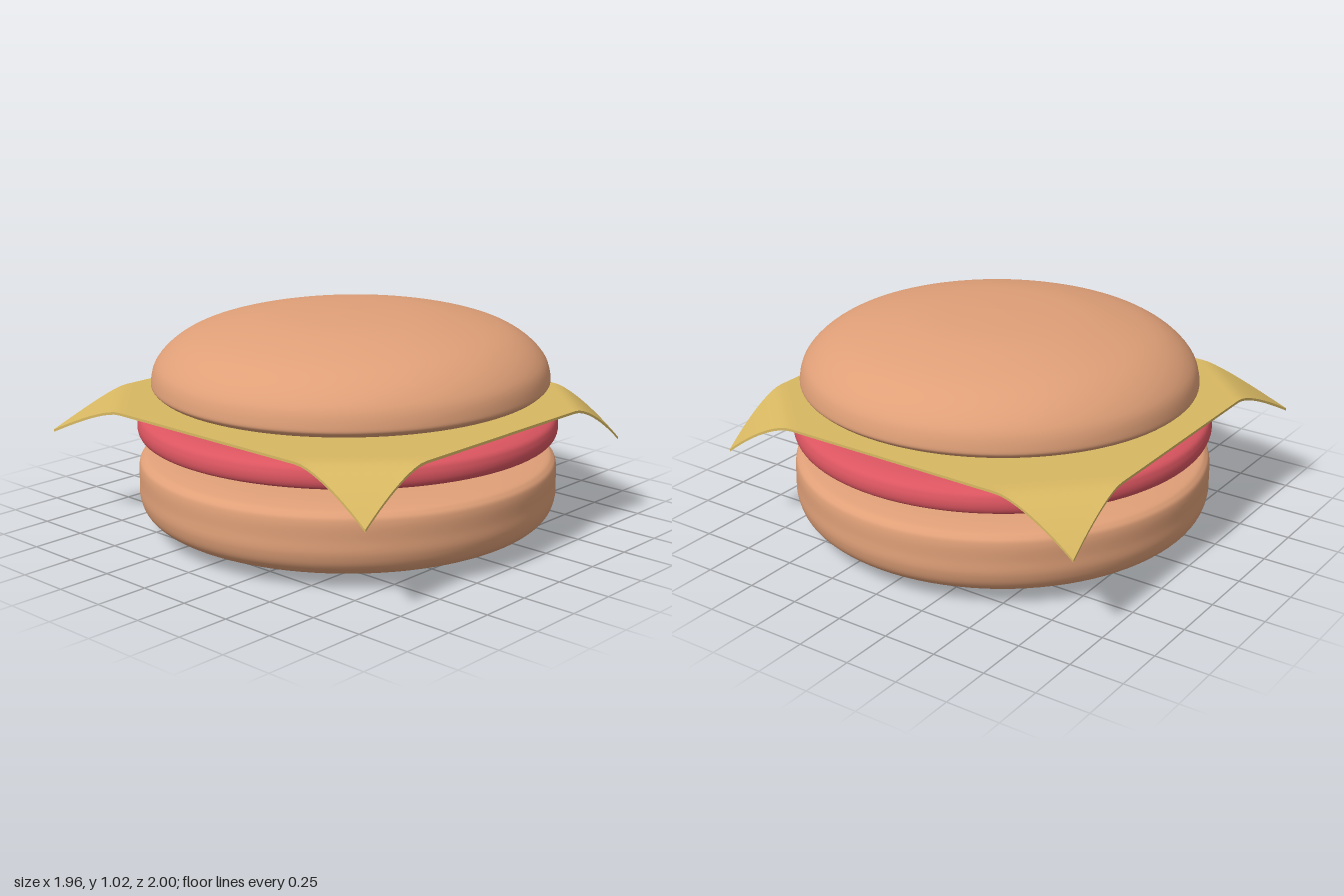
import * as THREE from 'three';

const material = (color) => new THREE.MeshStandardMaterial({ color, roughness: 0.8 });

// Turned round part from a smooth profile of [radius, height], bottom to top
function roundPart(name, profile, color, x, z) {
  const curve = new THREE.SplineCurve(profile.map(([r, y]) => new THREE.Vector2(r, y)));
  const points = curve.getPoints(60).map((p) => new THREE.Vector2(Math.max(p.x, 0), p.y));
  const mesh = new THREE.Mesh(new THREE.LatheGeometry(points, 96), material(color));
  mesh.name = name;
  mesh.position.set(x, 0, z);
  return mesh;
}

// Thin square slice whose four corners droop; the back right corner also flares out
function cheeseSlice() {
  const geometry = new THREE.BoxGeometry(1.785, 0.012, 1.88, 48, 1, 48);
  const pos = geometry.attributes.position;
  const clamp = THREE.MathUtils.clamp;
  for (let i = 0; i < pos.count; i++) {
    const x = pos.getX(i), y = pos.getY(i), z = pos.getZ(i);
    const u = x / 0.8925, v = z / 0.94;
    const t = clamp((Math.abs(u) + Math.abs(v) - 1.6) / 0.4, 0, 1);
    const flaring = u < 0 && v < 0;
    const flare = flaring ? t * t : 0;
    const drop = (flaring ? 0.16 : 0.2) * Math.pow(t, 1.5);
    pos.setXYZ(i, x - 0.025 * flare, y - drop, z - 0.07 * flare);
  }
  geometry.computeVertexNormals();
  const mesh = new THREE.Mesh(geometry, material(0xd8b862));
  mesh.name = 'cheeseSlice';
  mesh.position.set(-0.0175, 0.599, 0.01);
  return mesh;
}

export function createModel() {
  const model = new THREE.Group();
  model.name = 'burger';
  const bunColor = 0xe0a078;

  // Bottom bun: straight wall, wide rounded foot
  model.add(roundPart('bottomBun', [
    [0, 0.005], [0.5, 0.012], [0.75, 0.03], [0.88, 0.06], [0.95, 0.105], [0.977, 0.17],
    [0.978, 0.24], [0.977, 0.31], [0.962, 0.345], [0.91, 0.365], [0.7, 0.378], [0, 0.385],
  ], bunColor, 0, 0.02));

  // Patty
  model.add(roundPart('patty', [
    [0, 0.425], [0.6, 0.43], [0.85, 0.44], [0.95, 0.457], [0.977, 0.48],
    [0.977, 0.525], [0.95, 0.56], [0.85, 0.58], [0.5, 0.59], [0, 0.593],
  ], 0xdb5560, 0, 0.02));

  model.add(cheeseSlice());

  // Top bun: domed and slightly tilted
  const topBun = roundPart('topBun', [
    [0, 0], [0.5, 0.003], [0.75, 0.01], [0.87, 0.02], [0.915, 0.04], [0.925, 0.07],
    [0.9, 0.15], [0.82, 0.23], [0.7, 0.29], [0.5, 0.338], [0.3, 0.362], [0, 0.372],
  ], bunColor, 0.01, 0.03);
  topBun.position.y = 0.65;
  topBun.rotation.z = 0.016;
  model.add(topBun);

  return model;
}
